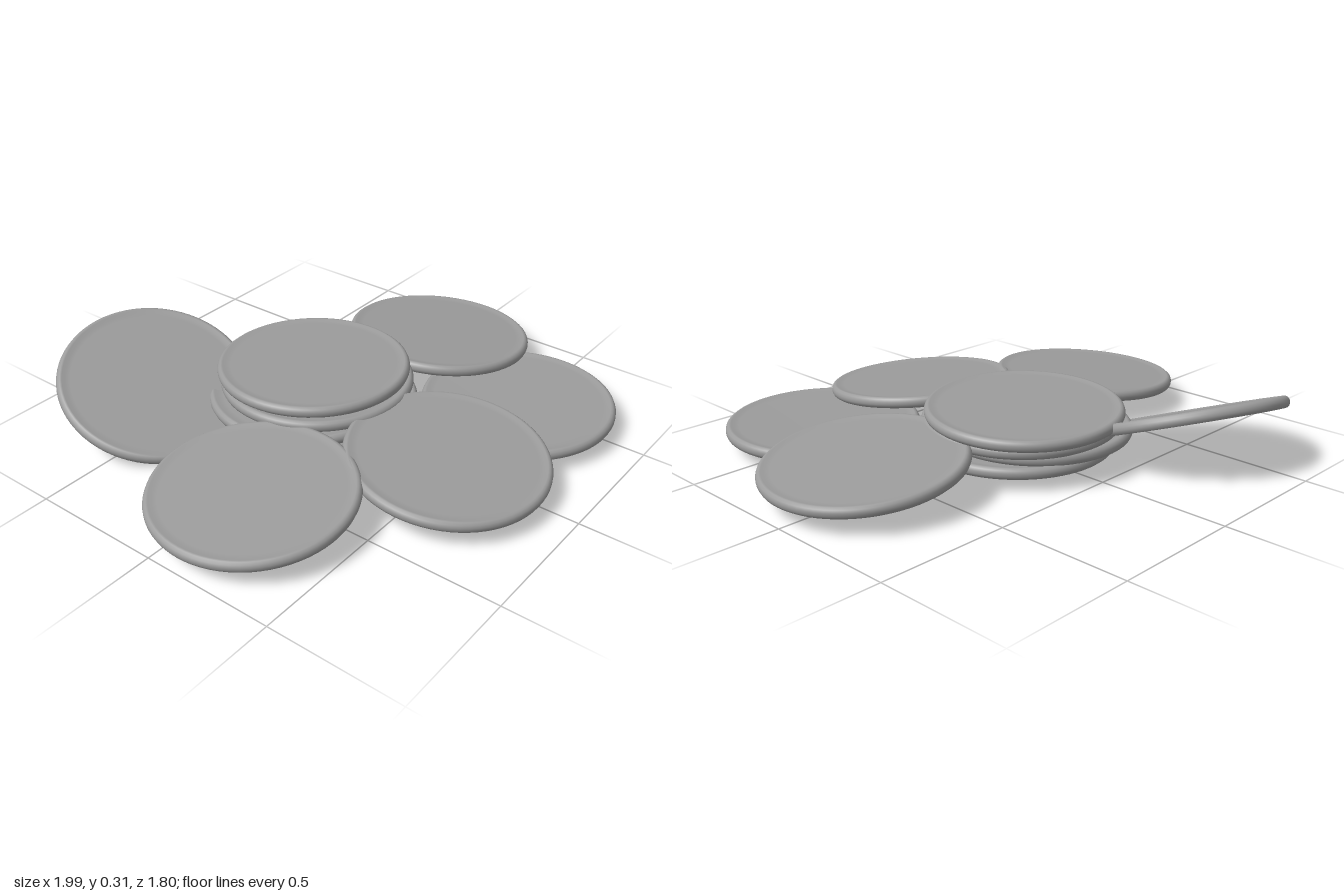
import * as THREE from 'three';

const R = 0.363; // disc radius
const H = 0.021; // half thickness

// Disc profile: flat underside, rounded rim, shallow dished top face
function discGeometry() {
  const points = [
    [0, -H], [R - 0.012, -H], [R - 0.012, -H], [R - 0.004, -H * 0.7], [R, -H * 0.25],
    [R, H * 0.25], [R - 0.004, H * 0.7], [R - 0.012, H], [R - 0.02, H],
    [R - 0.032, H - 0.004], [R - 0.05, H - 0.005], [0, H - 0.005],
  ].map(([x, y]) => new THREE.Vector2(x, y));
  return new THREE.LatheGeometry(points, 72);
}

// name, centre x y z, slope along x, slope along z
const DISCS = [
  ['stackBottomDisc', 0.02, 0.080, -0.105, 0, 0],
  ['stackLowerDisc', -0.04, 0.120, -0.135, 0.01, 0.01],
  ['stackUpperDisc', 0.01, 0.160, -0.12, -0.01, 0.015],
  ['stackTopDisc', 0.02, 0.200, -0.145, -0.018, 0.025],
  ['leftLeaningDisc', 0.63, 0.125, 0.02, -0.10, 0],
  ['rightLeaningDisc', -0.637, 0.120, 0.128, 0.085, 0],
  ['frontLeaningDisc', -0.085, 0.125, 0.53, 0.015, -0.105],
  ['frontFlatDisc', 0.427, 0.083, 0.512, 0, 0],
  ['backTiltedDisc', -0.40, 0.165, -0.565, 0.15, -0.386],
];

export function createModel() {
  const group = new THREE.Group();
  group.name = 'discPile';
  const grey = new THREE.MeshStandardMaterial({ color: 0x9c9c9c });
  grey.name = 'grey metal';
  const geometry = discGeometry();
  const up = new THREE.Vector3(0, 1, 0);

  // Place each disc with its axis along the normal of its resting slope
  for (const [name, x, y, z, sx, sz] of DISCS) {
    const disc = new THREE.Mesh(geometry, grey);
    disc.name = name;
    disc.position.set(x, y, z);
    disc.quaternion.setFromUnitVectors(up, new THREE.Vector3(-sx, 1, -sz).normalize());
    group.add(disc);
  }
  return group;
}
